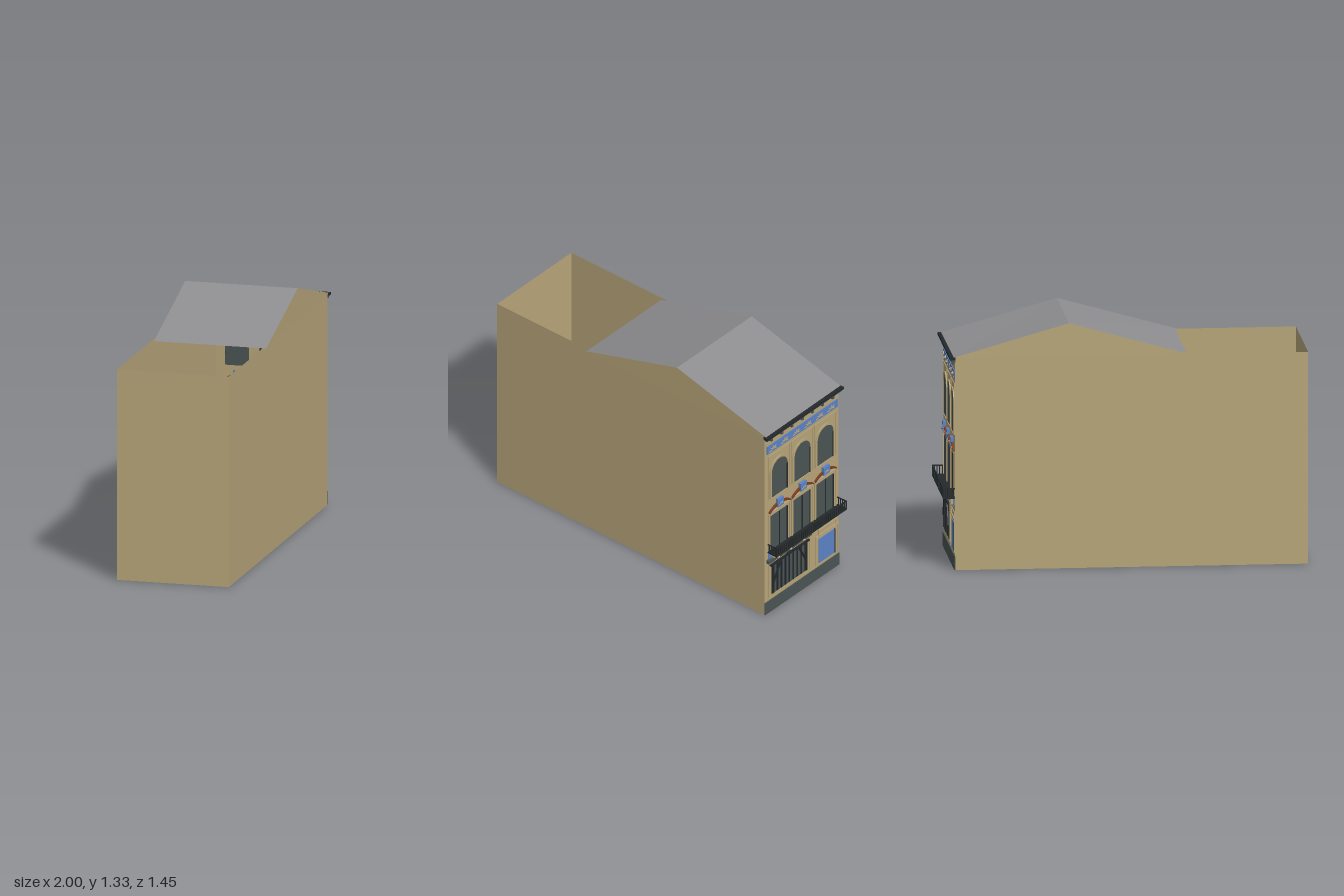
import * as THREE from 'three';

const mat = (name, color, side = THREE.FrontSide) => {
  const m = new THREE.MeshStandardMaterial({ color, side });
  m.name = name;
  return m;
};

export function createModel() {
  const tan = mat('tan plaster', 0xb8a67a, THREE.DoubleSide);
  const grey = mat('grey roof', 0x8e8e91, THREE.DoubleSide);
  const slate = mat('slate', 0x4b5454);
  const iron = mat('black iron', 0x24292b);
  const blue = mat('blue paint', 0x5d84c8);
  const maroon = mat('maroon', 0x7a3c22);

  const model = new THREE.Group();
  model.name = 'townhouse';

  const add = (parent, name, geometry, material) => {
    const mesh = new THREE.Mesh(geometry, material);
    mesh.name = name;
    parent.add(mesh);
    return mesh;
  };
  // Flat polygons, each a list of corner points in fan order
  const faces = (...polys) => {
    const p = [];
    for (const q of polys)
      for (let i = 1; i < q.length - 1; i++) p.push(...q[0], ...q[i], ...q[i + 1]);
    const g = new THREE.BufferGeometry();
    g.setAttribute('position', new THREE.Float32BufferAttribute(p, 3));
    g.computeVertexNormals();
    return g;
  };

  // Outer walls: slightly skewed plan, open above and below
  const H = 1.15;
  const plan = [[0.952, -0.163], [0.652, -0.697], [-1, 0.192], [-0.698, 0.726]];
  plan.forEach(([x, z], i) => {
    const [x2, z2] = plan[(i + 1) % 4];
    add(model, ['facadeWall', 'leftWall', 'rearWall', 'rightWall'][i],
      faces([[x, 0, z], [x2, 0, z2], [x2, H, z2], [x, H, z]]), tan);
  });

  // Gabled roof over the front part of the house
  const top = 1.328;
  const [f0, fr, f1] = [[-0.123, H, 0.438], [0.425, top, 0.133], [0.979, H, -0.176]];
  const [b0, br, b1] = [[-0.425, H, -0.099], [0.122, top, -0.405], [0.672, H, -0.713]];
  add(model, 'roofSlopes', faces([f0, fr, br, b0], [fr, f1, b1, br]), grey);
  add(model, 'gables', faces([f0, f1, fr], [b1, b0, br]), tan);

  // Facade frame: x runs along the street front, z points out of it
  const facade = new THREE.Group();
  facade.name = 'facade';
  facade.position.set(0.952, 0, -0.163);
  facade.rotation.y = THREE.MathUtils.degToRad(119.35);
  model.add(facade);
  const W = 0.613;

  const box = (name, m, x0, x1, y0, y1, z1, z0 = 0) => {
    const mesh = add(facade, name, new THREE.BoxGeometry(x1 - x0, y1 - y0, z1 - z0), m);
    mesh.position.set((x0 + x1) / 2, (y0 + y1) / 2, (z0 + z1) / 2);
    return mesh;
  };
  const plate = (name, m, shape, x, y, z, depth) => {
    const g = new THREE.ExtrudeGeometry(shape, { depth, bevelEnabled: false, curveSegments: 16 });
    const mesh = add(facade, name, g, m);
    mesh.position.set(x, y, z);
    return mesh;
  };
  const bar = (name, m, xa, ya, xb, yb, t, z) => {
    const mesh = add(facade, name, new THREE.BoxGeometry(Math.hypot(xb - xa, yb - ya), t, t), m);
    mesh.position.set((xa + xb) / 2, (ya + yb) / 2, z);
    mesh.rotation.z = Math.atan2(yb - ya, xb - xa);
  };
  // Rectangular moulding of width t
  const frame = (name, x0, x1, y0, y1, t, z) => {
    box(name, tan, x0, x0 + t, y0, y1, z);
    box(name, tan, x1 - t, x1, y0, y1, z);
    box(name, tan, x0 + t, x1 - t, y1 - t, y1, z);
  };
  // Round-headed outline standing on y = 0
  const archOutline = (target, r, spring) => {
    target.moveTo(-r, 0);
    target.lineTo(r, 0);
    target.lineTo(r, spring);
    target.absarc(0, spring, r, 0, Math.PI, false);
    target.lineTo(-r, 0);
    return target;
  };
  // Fan-shaped leaf ornament
  const fan = (r) => {
    const s = new THREE.Shape();
    s.moveTo(-r, 0);
    for (let i = 1; i < 8; i++) {
      const a = Math.PI * (1 - i / 8), k = i % 2 ? 0.45 : 1;
      s.lineTo(Math.cos(a) * r * k, Math.sin(a) * r * k * 0.9);
    }
    s.lineTo(r, 0);
    s.lineTo(0, r * 0.2);
    return s;
  };

  // Plinth and cornice
  box('plinth', slate, 0, W, 0, 0.075, 0.005);
  box('corniceTop', iron, -0.01, 0.621, 1.142, 1.155, 0.03);
  box('corniceStep', slate, -0.002, 0.616, 1.128, 1.142, 0.02);
  for (let i = 0; i < 7; i++) {
    const x = 0.04 + i * 0.0845;
    box('corniceBracket', slate, x, x + 0.014, 1.106, 1.128, 0.014);
  }

  // Blue frieze with leaf ornaments
  box('frieze', blue, 0.018, 0.6, 1.027, 1.077, 0.004);
  for (let i = 0; i < 6; i++)
    plate('friezeOrnament', tan, fan(0.032), 0.066 + i * 0.096, 1.038, 0.004, 0.004);

  // Three window bays
  for (const x of [0.12, 0.308, 0.498]) {
    // Upper arched window
    frame('upperPanel', x - 0.091, x + 0.091, 0.728, 1.007, 0.005, 0.004);
    plate('upperGlass', slate, archOutline(new THREE.Shape(), 0.067, 0.162), x, 0.728, 0, 0.002);
    const ring = archOutline(new THREE.Shape(), 0.079, 0.162);
    ring.holes.push(archOutline(new THREE.Path(), 0.066, 0.162));
    plate('upperArch', tan, ring, x, 0.728, 0, 0.006);
    box('upperJamb', iron, x + 0.06, x + 0.066, 0.728, 0.89, 0.005);

    // Segmental pediment with a blue plaque
    const hood = new THREE.Shape();
    hood.moveTo(-0.087, 0);
    hood.quadraticCurveTo(0, 0.056, 0.087, 0);
    hood.lineTo(0.087, 0.008);
    hood.quadraticCurveTo(0, 0.072, -0.087, 0.008);
    plate('pediment', maroon, hood, x, 0.638, 0, 0.012);
    box('pedimentSill', tan, x - 0.087, x + 0.087, 0.632, 0.639, 0.008);
    box('plaque', blue, x - 0.026, x + 0.022, 0.651, 0.701, 0.016);
    plate('plaqueOrnament', tan, fan(0.017), x - 0.002, 0.666, 0.016, 0.003);

    // Balcony window
    box('balconyGlass', slate, x - 0.069, x + 0.069, 0.395, 0.612, 0.002);
    frame('balconyWindowFrame', x - 0.089, x + 0.089, 0.395, 0.632, 0.007, 0.006);
    box('balconyMullion', iron, x - 0.003, x + 0.003, 0.395, 0.612, 0.004);
    box('balconyJamb', iron, x + 0.06, x + 0.069, 0.395, 0.612, 0.004);
  }

  // Balcony: slab, railing and brackets
  const [bx0, bx1, bz] = [0.026, 0.603, 0.064];
  box('balconySlab', iron, bx0, bx1, 0.386, 0.394, bz);
  box('balconyRail', iron, bx0, bx1, 0.437, 0.443, bz, bz - 0.006);
  for (let i = 0; i <= 36; i++) {
    const x = bx0 + (bx1 - bx0 - 0.005) * i / 36;
    box('baluster', iron, x, x + 0.005, 0.394, 0.438, bz, bz - 0.005);
  }
  for (const x of [bx0, bx1 - 0.005]) {
    box('balconySideRail', iron, x, x + 0.005, 0.437, 0.443, bz);
    for (let i = 0; i < 4; i++)
      box('sideBaluster', iron, x, x + 0.005, 0.394, 0.438, 0.011 + i * 0.014, 0.006 + i * 0.014);
  }
  for (const x of [0.065, 0.31, 0.56])
    box('balconyBracket', tan, x - 0.012, x + 0.012, 0.348, 0.386, 0.022);

  // Blue band below the balcony
  box('signBand', blue, 0.027, 0.318, 0.345, 0.381, 0.004);
  box('signBand', blue, 0.345, 0.592, 0.345, 0.381, 0.004);
  plate('signOrnament', tan, fan(0.03), 0.215, 0.352, 0.004, 0.004);

  // Shopfront with ledge, bars and braces
  box('shopLedge', slate, 0.015, 0.37, 0.326, 0.345, 0.018);
  for (const x of [0.092, 0.192, 0.3]) {
    const ball = add(facade, 'ledgeBall', new THREE.SphereGeometry(0.009, 10, 8), tan);
    ball.position.set(x, 0.336, 0.02);
  }
  frame('shopFrame', 0.027, 0.373, 0.1, 0.326, 0.007, 0.006);
  box('shopGlass', slate, 0.058, 0.342, 0.105, 0.298, 0.002);
  box('shopLintel', iron, 0.042, 0.36, 0.293, 0.302, 0.012);
  for (let i = 0; i < 9; i++) {
    const x = 0.07 + i * 0.0325;
    box('shopBar', iron, x - 0.004, x + 0.004, 0.11, 0.295, 0.007);
  }
  for (const s of [-1, 1]) {
    const c = 0.2;
    bar('shopBrace', iron, c + s * 0.135, 0.18, c + s * 0.075, 0.292, 0.008, 0.008);
    bar('shopPeak', iron, c + s * 0.05, 0.3, c, 0.313, 0.006, 0.008);
    box('shopPost', iron, c + s * 0.14 - 0.004, c + s * 0.14 + 0.004, 0.11, 0.295, 0.008);
  }

  // Door with its surround and transom panel
  frame('doorSurround', 0.42, 0.605, 0.092, 0.277, 0.008, 0.006);
  box('door', blue, 0.445, 0.578, 0.097, 0.25, 0.004);
  box('doorJamb', iron, 0.572, 0.579, 0.097, 0.25, 0.006);
  frame('transomPanel', 0.443, 0.59, 0.277, 0.31, 0.005, 0.005);

  return model;
}
